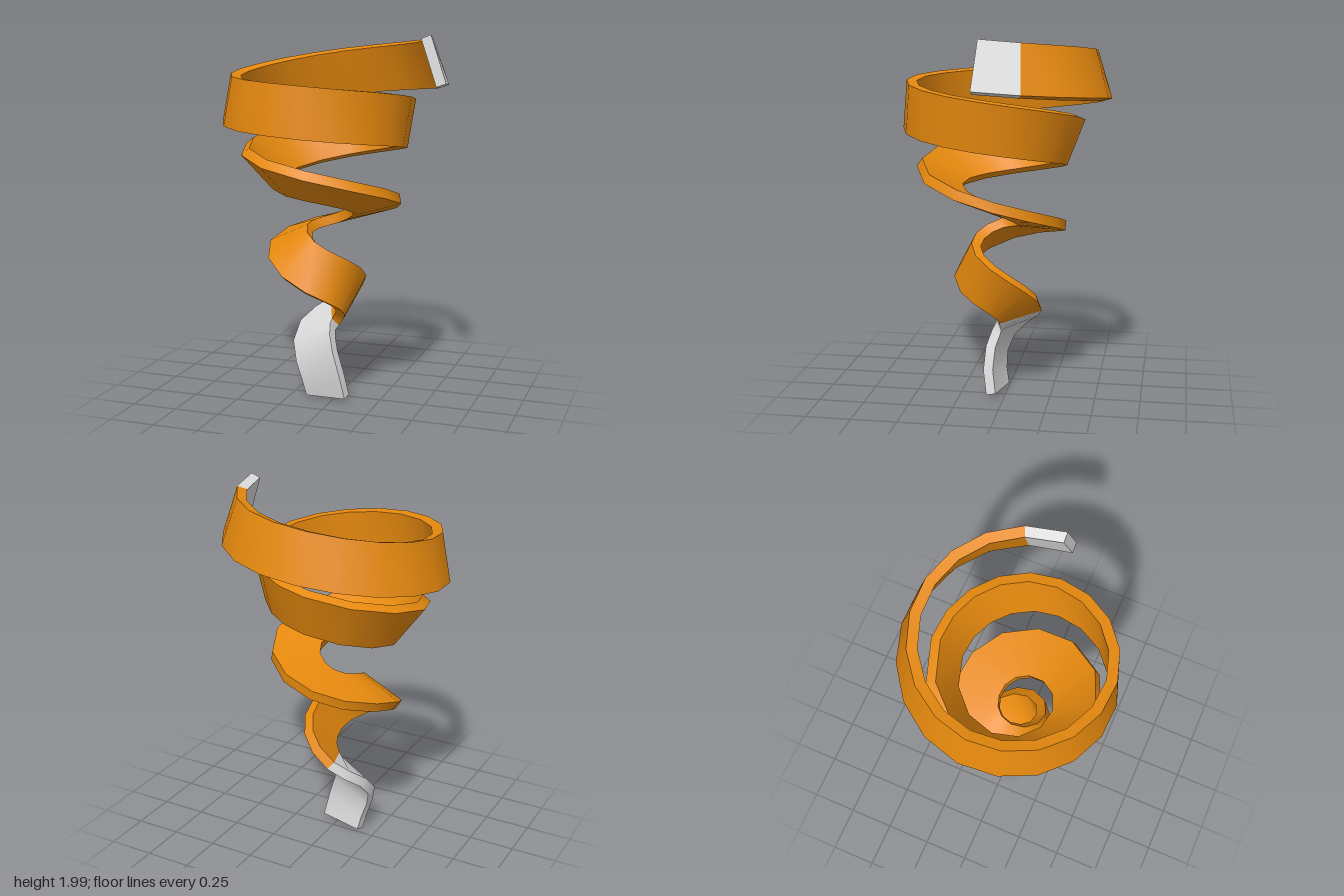
import * as THREE from 'three';

// One station per quarter turn, bottom to top: radius, height, roll of the strip (degrees)
const STATIONS = [
  [0.02, 0.02, 370], [0.085, 0.33, 288], [0.10, 0.47, 245], [0.13, 0.61, 198],
  [0.19, 0.755, 153], [0.215, 0.90, 116], [0.225, 0.985, 94], [0.27, 1.11, 75],
  [0.34, 1.235, 55], [0.37, 1.32, 35], [0.38, 1.44, 20], [0.425, 1.55, 7],
  [0.495, 1.625, -6], [0.52, 1.67, -12], [0.53, 1.785, -17], [0.58, 1.862, -20],
];
const AXIS = { x: -0.04, z: 0.03 };
const THICK = 0.0275;

// Smooth value of one station column at quarter turn n (1 to 16)
function station(n, column) {
  const last = STATIONS.length - 1;
  const i = Math.max(0, Math.min(last - 1, Math.floor(n - 1)));
  const t = n - 1 - i;
  const at = (k) => {
    if (k < 0) return 2 * STATIONS[0][column] - STATIONS[1][column];
    if (k > last) return 2 * STATIONS[last][column] - STATIONS[last - 1][column];
    return STATIONS[k][column];
  };
  const [a, b, c, d] = [at(i - 1), at(i), at(i + 1), at(i + 2)];
  return b + 0.5 * t * (c - a + t * (2 * a - 5 * b + 4 * c - d + t * (3 * (b - c) + d - a)));
}

function centre(n) {
  const angle = n * Math.PI / 2, r = station(n, 0);
  return new THREE.Vector3(AXIS.x + r * Math.cos(angle), station(n, 1), AXIS.z + r * Math.sin(angle));
}

// Four corners of the rectangular cross-section at quarter turn n
function section(n) {
  const angle = n * Math.PI / 2, roll = THREE.MathUtils.degToRad(station(n, 2));
  const tangent = centre(n + 0.02).sub(centre(n - 0.02)).normalize();
  const side = new THREE.Vector3(Math.cos(angle), 0, Math.sin(angle));
  side.addScaledVector(tangent, -side.dot(tangent)).normalize();
  const up = new THREE.Vector3().crossVectors(tangent, side);
  const wide = up.multiplyScalar(Math.cos(roll)).addScaledVector(side, Math.sin(roll));
  const thin = new THREE.Vector3().crossVectors(tangent, wide);
  const half = 0.12 + 0.011 * Math.min(1, n / 8);
  return [[1, 1], [1, -1], [-1, -1], [-1, 1]].map(([w, t]) =>
    centre(n).addScaledVector(wide, w * half).addScaledVector(thin, t * THICK));
}

// Strip through the sections: smooth along its length, sharp along its four edges
function stripGeometry(stops, capStart, capEnd) {
  const rings = stops.map(section), positions = [], index = [];
  const push = (p) => positions.push(p.x, p.y, p.z) / 3 - 1;
  for (let k = 0; k < 4; k++) {
    rings.forEach((ring, i) => {
      const a = push(ring[k]), b = push(ring[(k + 1) % 4]);
      if (i > 0) index.push(a - 2, a, b - 2, b - 2, a, b);
    });
  }
  const cap = (ring, flip) => {
    const [a, b, c, d] = ring.map(push);
    index.push(...(flip ? [a, c, b, a, d, c] : [a, b, c, a, c, d]));
  };
  if (capStart) cap(rings[0], false);
  if (capEnd) cap(rings[rings.length - 1], true);
  const geometry = new THREE.BufferGeometry();
  geometry.setAttribute('position', new THREE.Float32BufferAttribute(positions, 3));
  geometry.setIndex(index);
  geometry.computeVertexNormals();
  return geometry;
}

// Evenly spaced stops from a to b
const stops = (a, b, steps) => Array.from({ length: steps + 1 }, (_, i) => a + (b - a) * i / steps);

export function createModel() {
  const orange = new THREE.MeshStandardMaterial({ color: 0xe6890e });
  orange.name = 'orange';
  const paleGrey = new THREE.MeshStandardMaterial({ color: 0xdadada });
  paleGrey.name = 'paleGrey';

  const group = new THREE.Group();
  group.name = 'spiralRibbon';
  const add = (name, geometry, material) => {
    const mesh = new THREE.Mesh(geometry, material);
    mesh.name = name;
    group.add(mesh);
  };
  // Pale lower tip, coloured coil and pale upper tip
  add('lowerTip', stripGeometry(stops(1, 3, 6), true, false), paleGrey);
  add('coil', stripGeometry([...stops(3, 11, 24), ...stops(11, 15.8, 22).slice(1)], false, false), orange);
  add('upperTip', stripGeometry([15.8, 16.04], false, true), paleGrey);
  return group;
}
